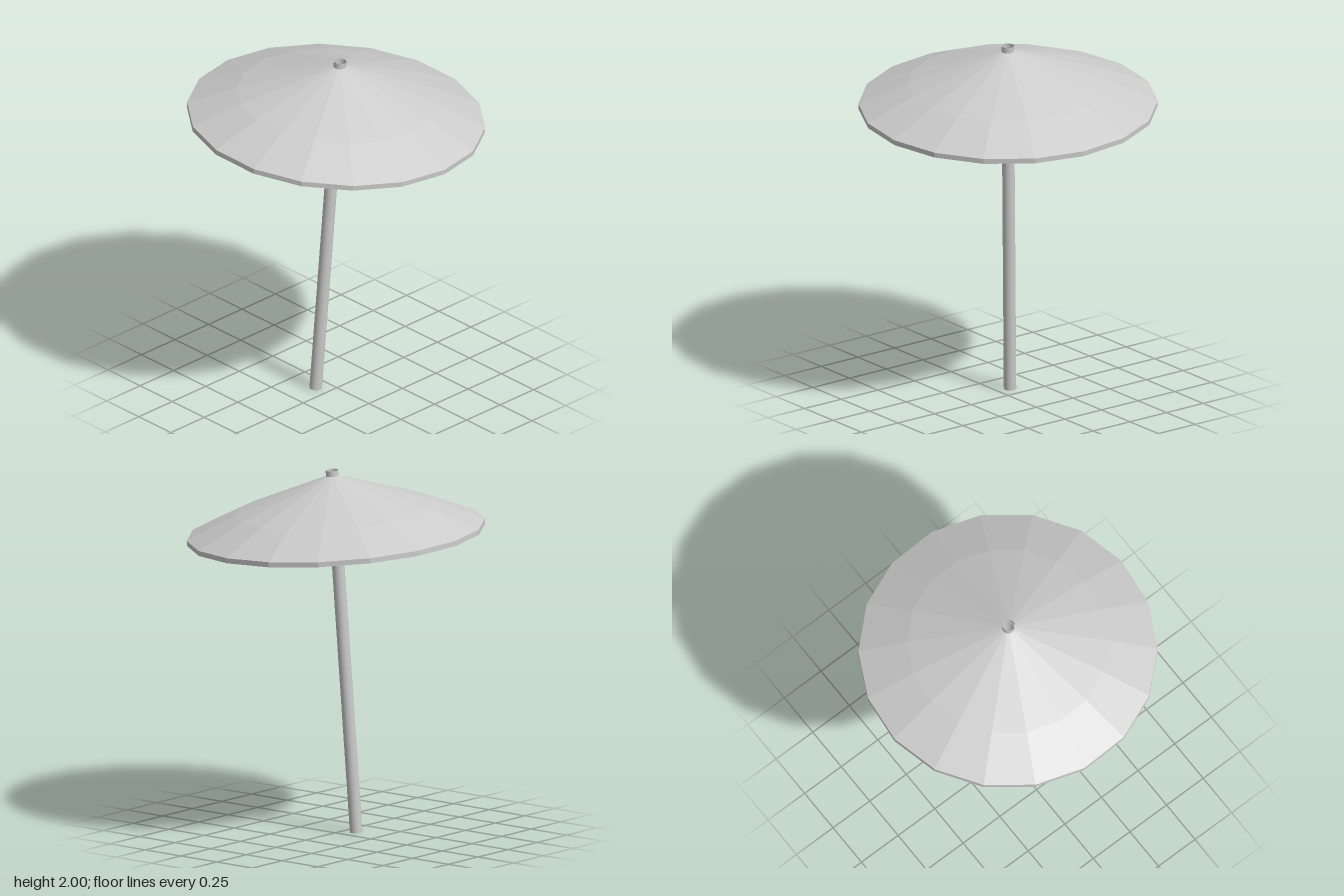
import * as THREE from 'three';

export function createModel() {
  const model = new THREE.Group();
  model.name = 'parasol';

  // Everything is built around an upright axis, then leaned as one
  const leaning = new THREE.Group();
  leaning.name = 'leaningParasol';
  leaning.position.set(-0.078, 0.002, 0.083);
  const axis = new THREE.Vector3(0.0455, 1, -0.048).normalize();
  leaning.quaternion.setFromUnitVectors(new THREE.Vector3(0, 1, 0), axis);
  model.add(leaning);

  // Pole: open tube running through the canopy
  const length = 2.0;
  const pole = new THREE.Mesh(
    new THREE.CylinderGeometry(0.034, 0.034, length, 24, 1, true),
    new THREE.MeshStandardMaterial({ color: 0xcccccc, side: THREE.DoubleSide })
  );
  pole.name = 'pole';
  pole.position.y = length / 2;
  leaning.add(pole);

  // Canopy: faceted shell, underside outwards, rim, then top inwards
  const thickness = 0.028;
  const top = [[0.03, 1.97], [0.545, 1.787], [0.807, 1.671]];
  const profile = [
    ...top.map(([r, y]) => new THREE.Vector2(r, y - thickness)),
    ...top.map(([r, y]) => new THREE.Vector2(r, y)).reverse(),
  ];
  const canopy = new THREE.Mesh(
    new THREE.LatheGeometry(profile, 18, THREE.MathUtils.degToRad(12.8)),
    new THREE.MeshStandardMaterial({ color: 0xcccccc, flatShading: true })
  );
  canopy.name = 'canopy';
  leaning.add(canopy);

  return model;
}
